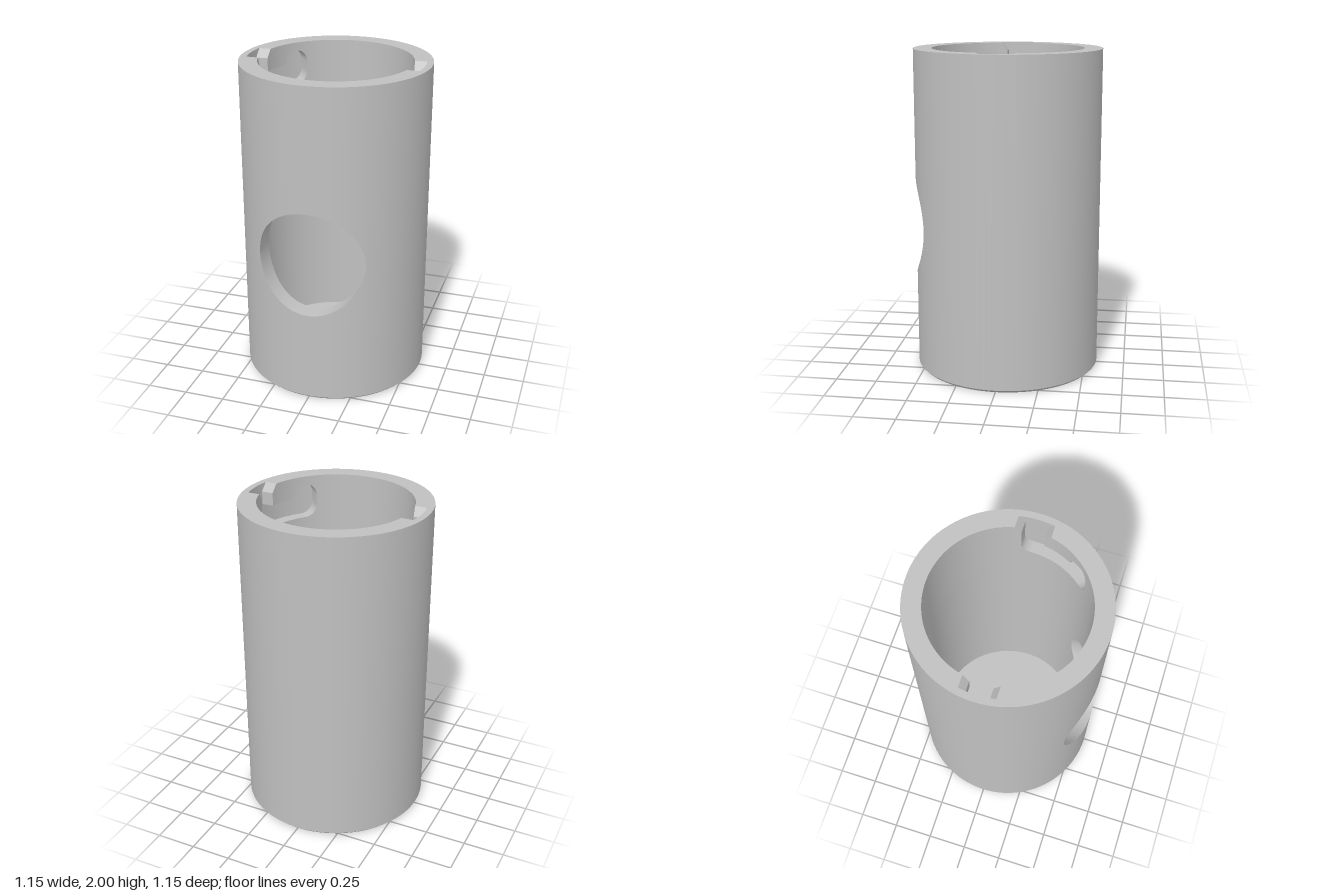
import * as THREE from 'three';
import { toCreasedNormals } from 'three/addons/utils/BufferGeometryUtils.js';

const RO = 0.575, RI = 0.463, RS = 0.535; // outer wall, bore, slot back wall
const H = 2, FLOOR = 0.11, SPLIT = 1.5, BEVEL = 0.015, SEG = 96;
const rad = THREE.MathUtils.degToRad;

// Column: angle (degrees from +z toward +x), sideways offset, cut limits lo..hi, wall top
const col = (at, off, lo, hi, top = H) => ({ at, off, lo, hi, top });
const angle = (c, r) => rad(c.at) + Math.asin(c.off / r);
const point = (c, r, y) => {
  const a = angle(c, r);
  return new THREE.Vector3(r * Math.sin(a), y, r * Math.cos(a));
};

// Adds quads between two curves, leaving out empty triangles
function strip(out, A, B) {
  const tri = (a, b, c) => {
    const area = b.clone().sub(a).cross(c.clone().sub(a)).length();
    if (area > 1e-8) out.push(...a.toArray(), ...b.toArray(), ...c.toArray());
  };
  for (let i = 0; i + 1 < A.length; i++) {
    tri(A[i], A[i + 1], B[i + 1]);
    tri(A[i], B[i + 1], B[i]);
  }
}

function toGeometry(positions) {
  const g = new THREE.BufferGeometry();
  g.setAttribute('position', new THREE.Float32BufferAttribute(positions, 3));
  return toCreasedNormals(g, 0.5);
}

// Cylindrical wall with openings; each cut is a list of columns
function wall(r, y0, y1, cuts, inward) {
  const spans = cuts.map((c) => [angle(c[0], r), angle(c[c.length - 1], r)]);
  let cols = cuts.flat();
  for (let i = 0; i <= SEG; i++) {
    const at = -180 + (i * 360) / SEG, a = rad(at);
    if (!spans.some(([s, e]) => a > s - 0.001 && a < e + 0.001)) cols.push(col(at, 0, y1, y1, y1));
  }
  // close each cut with an uncut column at both ends
  cuts.forEach((c) => {
    const f = c[0], l = c[c.length - 1];
    cols.splice(cols.indexOf(f), 0, col(f.at, f.off, y1, y1, y1));
    cols.splice(cols.indexOf(l) + 1, 0, col(l.at, l.off, y1, y1, y1));
  });
  cols = cols.map((c, i) => ({ c, i, a: angle(c, r) }))
    .sort((p, q) => (Math.abs(p.a - q.a) > 1e-7 ? p.a - q.a : p.i - q.i)).map((p) => p.c);
  const out = [];
  const line = (f) => cols.map((c) => point(c, r, f(c)));
  const band = (lower, upper) => (inward ? strip(out, upper, lower) : strip(out, lower, upper));
  band(line(() => y0), line((c) => c.lo));
  band(line((c) => c.hi), line((c) => Math.min(c.top, y1)));
  return toGeometry(out);
}

// Walls of a cut running between two radii
function cutSides(cut, near, far) {
  const out = [];
  for (let i = 0; i + 1 < cut.length; i++) {
    const pair = [cut[i], cut[i + 1]];
    const line = (r, key) => pair.map((c) => point(c, r, c[key]));
    strip(out, line(far, 'lo'), line(near, 'lo'));
    if (pair.every((c) => c.hi === c.top)) continue;
    strip(out, line(near, 'hi'), line(far, 'hi'));
    strip(out, line(far, 'top'), line(near, 'top'));
  }
  return toGeometry(out);
}

// Round window in the front
function windowCut() {
  const R = 0.33, cy = 0.912, cut = [];
  for (let i = 0; i <= 48; i++) {
    const t = (i / 48) * Math.PI;
    cut.push(col(0, -R * Math.cos(t), cy - R * Math.sin(t), cy + R * Math.sin(t)));
  }
  return cut;
}

// Bayonet slot: round detent, level channel, flared entry open at the rim
const FLARE = 0.105;
function slotCut(at) {
  const w = 0.075, e = 0.067, lo = 1.735, hi = 1.87, lip = 1.95, cut = [];
  for (let i = 0; i <= 16; i++) {
    const t = (i / 16) * Math.PI, s = w * Math.sin(t);
    cut.push(col(at - 40, -w * Math.cos(t), i < 8 ? lo + w - s : lo, 1.875 + s));
  }
  cut.unshift({ ...cut[0], lo: 1.84, hi: 1.84 });
  for (let d = 28; d >= 16; d -= 4) cut.push(col(at - d, 0, lo, hi));
  cut.push(col(at, -FLARE, lo, hi), col(at, -e, lo, hi, lip), col(at, -e, lo, lip, lip));
  cut.push(col(at, -e, lo, H), col(at, -e / 2, lo, H));
  for (let i = 0; i <= 8; i++) {
    const t = (i / 8) * Math.PI / 2;
    cut.push(col(at, e * Math.sin(t), lo + e - e * Math.cos(t), H));
  }
  cut.push(col(at, e, lip, H), col(at, FLARE, H, H));
  return cut;
}

// Back face of a slot
function slotBack(cut) {
  const out = [];
  const line = (f) => cut.map((c) => point(c, RS, f(c)));
  strip(out, line((c) => c.hi), line((c) => c.lo));
  strip(out, line(() => H), line((c) => c.top));
  return toGeometry(out);
}

// Flat rim with the two slot notches
function rimGeometry() {
  const shape = new THREE.Shape();
  const ring = [], hole = [];
  const add = (list, a, r) => list.push(new THREE.Vector2(r * Math.sin(a), r * Math.cos(a)));
  const half = Math.asin(FLARE / RI), halfS = Math.asin(FLARE / RS);
  for (let i = 0; i < SEG; i++) add(ring, (i / SEG) * Math.PI * 2, RO);
  for (const mid of [Math.PI / 2, Math.PI * 1.5]) {
    for (let i = 0; i <= 40; i++) add(hole, mid - Math.PI + half + (i / 40) * (Math.PI - 2 * half), RI);
    for (let i = 0; i <= 6; i++) add(hole, mid - halfS + (i / 3) * halfS, RS);
  }
  shape.setFromPoints(ring);
  shape.holes.push(new THREE.Path(hole));
  return new THREE.ShapeGeometry(shape).rotateX(-Math.PI / 2).translate(0, H, 0);
}

export function createModel() {
  const group = new THREE.Group();
  group.name = 'bayonetTube';
  const grey = new THREE.MeshStandardMaterial({ color: 0xc0c0c0 });
  grey.name = 'plainGrey';
  const add = (name, geometry) => {
    const mesh = new THREE.Mesh(geometry, grey);
    mesh.name = name;
    group.add(mesh);
  };

  const opening = windowCut();
  const slots = [slotCut(-90), slotCut(90)];

  // Tube walls
  add('outerWall', wall(RO, BEVEL, H, [opening], false));
  add('lowerBore', wall(RI, FLOOR, SPLIT, [opening], true));
  add('upperBore', wall(RI, SPLIT, H, slots, true));
  add('windowEdge', cutSides(opening, RI, RO));
  add('rim', rimGeometry());

  // Bayonet slots on both sides
  slots.forEach((cut, i) => {
    const side = i ? 'left' : 'right';
    add(side + 'SlotSides', cutSides(cut, RI, RS));
    add(side + 'SlotBack', slotBack(cut));
  });

  // Bevelled base and inside floor
  const profile = [[0, 0], [RO - BEVEL, 0], [RO, BEVEL]].map((p) => new THREE.Vector2(...p));
  add('base', toCreasedNormals(new THREE.LatheGeometry(profile, SEG), 0.5));
  add('innerFloor', new THREE.CircleGeometry(RI, SEG).rotateX(-Math.PI / 2).translate(0, FLOOR, 0));
  return group;
}
